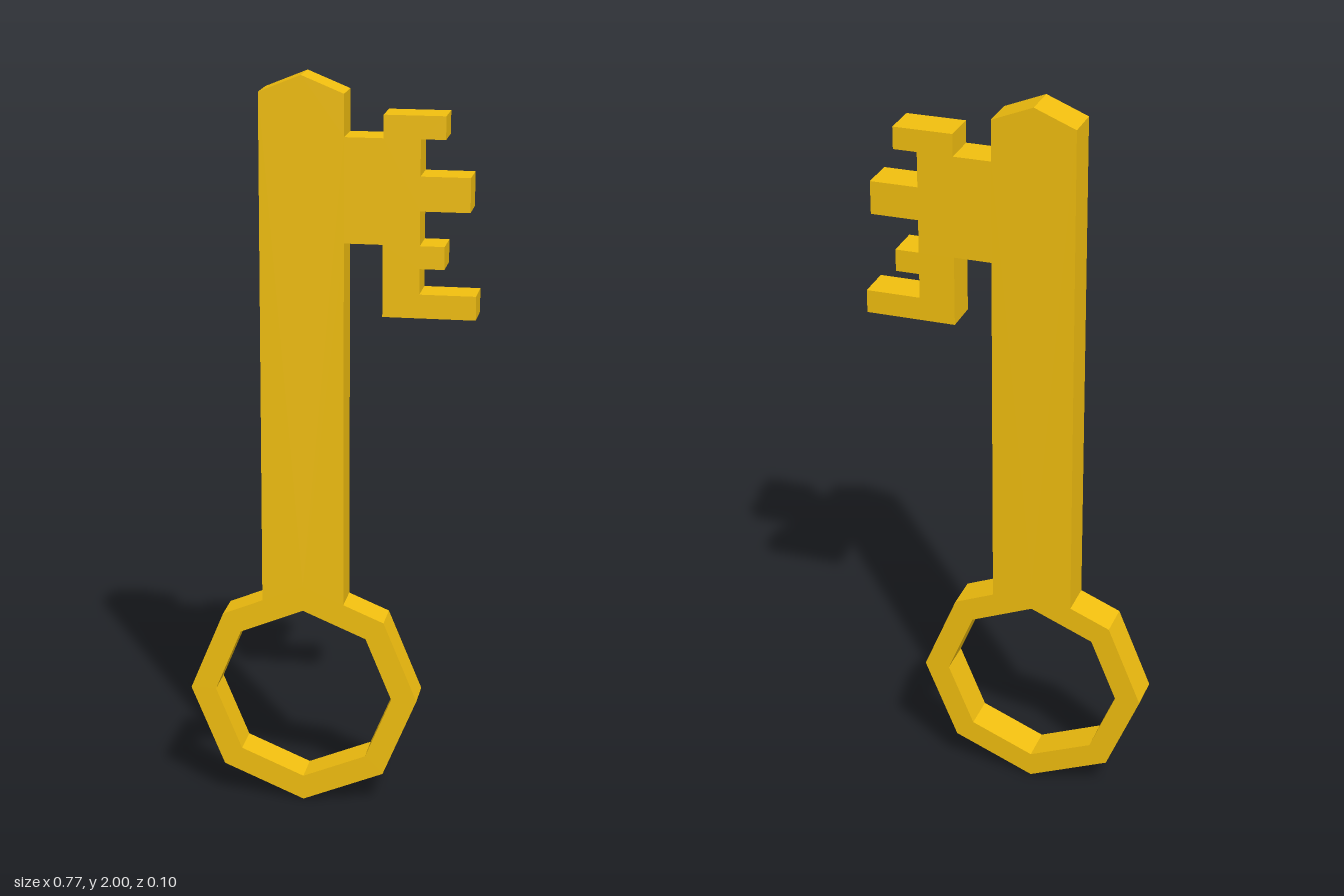
import * as THREE from 'three';

const DEPTH = 0.1;
const CX = -0.072; // shared axis of shaft and bow
const CY = 0.312;
const R = 0.312;

// Flat plate cut from a shape, centred on z = 0
function plate(name, shape, material) {
  const geometry = new THREE.ExtrudeGeometry(shape, { depth: DEPTH, bevelEnabled: false });
  geometry.translate(0, 0, -DEPTH / 2);
  const mesh = new THREE.Mesh(geometry, material);
  mesh.name = name;
  return mesh;
}

const points = (list) => list.map(([x, y]) => new THREE.Vector2(x, y));

function octagon(radius) {
  return Array.from({ length: 8 }, (_, i) => {
    const a = (i * Math.PI) / 4;
    return new THREE.Vector2(CX + radius * Math.cos(a), CY + radius * Math.sin(a));
  });
}

export function createModel() {
  const group = new THREE.Group();
  group.name = 'key';
  const gold = new THREE.MeshStandardMaterial({ color: 0xf2bf0f, flatShading: true });

  // Octagonal ring handle
  const ring = new THREE.Shape(octagon(R));
  ring.holes.push(new THREE.Path(octagon(0.243)));
  group.add(plate('bow', ring, gold));

  // Shaft with pointed tip, its foot notched to sit on the ring, and toothed bit
  const outline = new THREE.Shape(points([
    [CX, CY + R], [0.039, 0.578],
    [0.039, 1.57], [0.14, 1.57],
    [0.14, 1.38], [0.383, 1.38], [0.383, 1.443], [0.236, 1.443],
    [0.236, 1.51], [0.3, 1.51], [0.3, 1.57], [0.236, 1.57],
    [0.236, 1.66], [0.365, 1.66], [0.365, 1.75], [0.236, 1.75],
    [0.236, 1.845], [0.3, 1.845], [0.3, 1.905], [0.14, 1.905],
    [0.14, 1.845], [0.039, 1.845],
    [0.039, 1.955], [CX, 2], [-0.183, 1.955], [-0.183, 0.578],
  ]));
  group.add(plate('shaftAndBit', outline, gold));

  return group;
}
